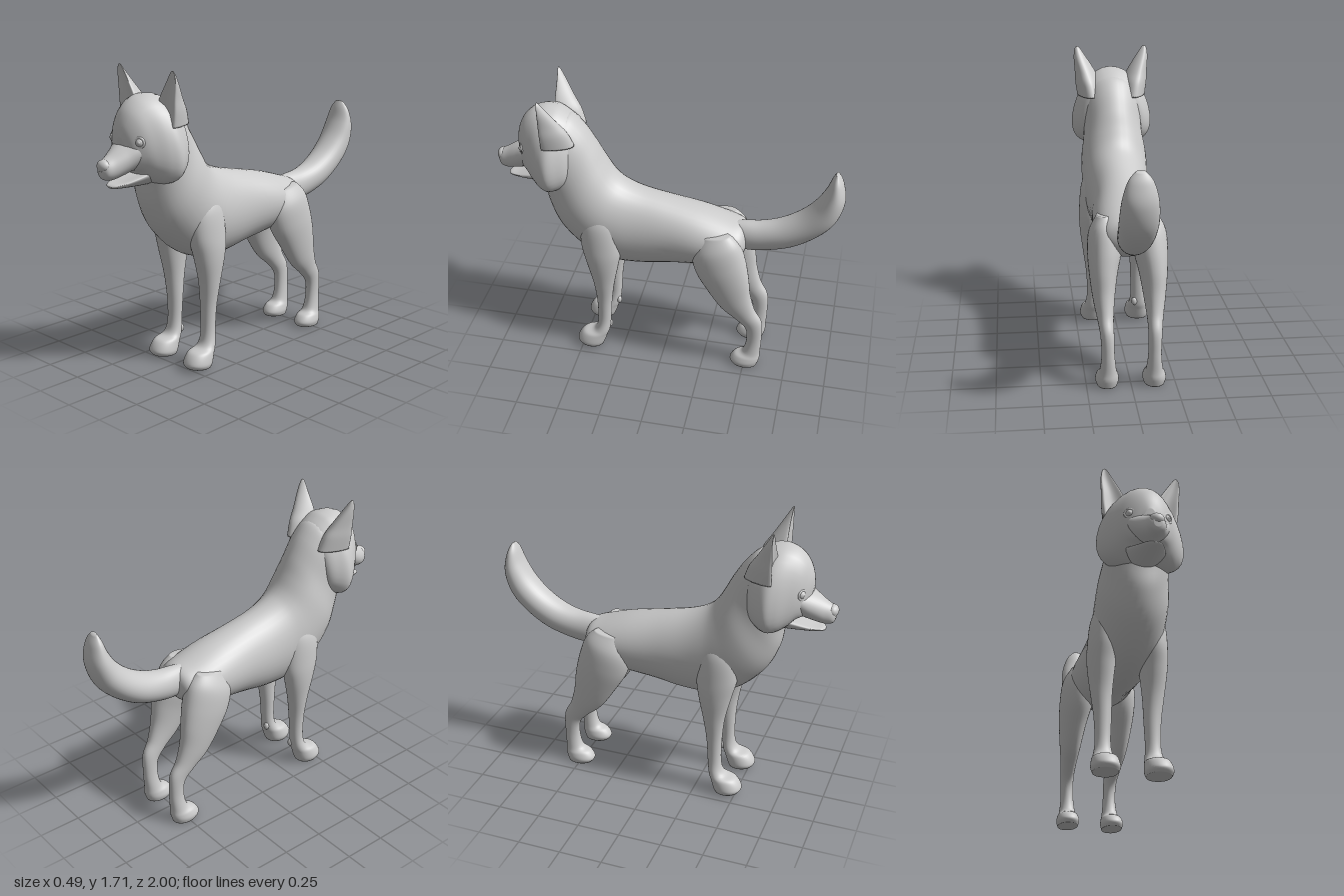
import * as THREE from 'three';

const material = new THREE.MeshStandardMaterial({ color: 0xcccccc });

// Catmull-Rom blend of one section parameter
function blend(a, b, c, d, t) {
  return 0.5 * (2 * b + (c - a) * t + (2 * a - 5 * b + 4 * c - d) * t * t + (3 * b - a - 3 * c + d) * t * t * t);
}

// Smooth skin over cross-sections [z1, y1, z2, y2, halfWidth, x]: each ring spans
// the two side-profile points; egg slides its widest part toward point 2.
function loft(name, sections, { side = 1, egg = 0, warp = null, round = 1 } = {}) {
  const N = 36, STEPS = 6, pos = [], index = [];
  const rings = [];
  const last = sections.length - 1;
  const at = (i, k) => sections[Math.max(0, Math.min(last, i))][k] ?? 0;
  for (let i = 0; i < last; i++) {
    for (let s = 0; s < STEPS + (i === last - 1 ? 1 : 0); s++) {
      rings.push([0, 1, 2, 3, 4, 5].map(k => blend(at(i - 1, k), at(i, k), at(i + 1, k), at(i + 2, k), s / STEPS)));
    }
  }
  const add = (x, y, z) => pos.push(side * x, y + (warp ? warp(x) : 0), z);
  for (const [z1, y1, z2, y2, w, x] of rings) {
    for (let j = 0; j < N; j++) {
      const a = (j / N) * Math.PI * 2, sn = Math.sin(a);
      const u = (Math.cos(a) - egg * sn * sn) / 2;
      add(x + w * Math.sign(sn) * Math.abs(sn) ** round, (y1 + y2) / 2 + u * (y1 - y2), (z1 + z2) / 2 + u * (z1 - z2));
    }
  }
  for (let r = 0; r < rings.length - 1; r++) {
    for (let j = 0; j < N; j++) {
      const a = r * N + j, b = r * N + (j + 1) % N;
      index.push(a, b, a + N, b, b + N, a + N);
    }
  }
  // End caps
  [0, rings.length - 1].forEach((r, end) => {
    const [z1, y1, z2, y2, , x] = rings[r];
    const c = pos.length / 3;
    add(x, (y1 + y2) / 2, (z1 + z2) / 2);
    for (let j = 0; j < N; j++) {
      const a = r * N + j, b = r * N + (j + 1) % N;
      if (end) index.push(a, b, c); else index.push(b, a, c);
    }
  });
  // Turn the faces outward
  let volume = 0;
  const p = [0, 1, 2].map(() => new THREE.Vector3());
  for (let i = 0; i < index.length; i += 3) {
    p.forEach((v, k) => v.fromArray(pos, index[i + k] * 3));
    volume += p[0].dot(p[1].clone().cross(p[2]));
  }
  if (volume < 0) index.reverse();
  const geometry = new THREE.BufferGeometry();
  geometry.setAttribute('position', new THREE.Float32BufferAttribute(pos, 3));
  geometry.setIndex(index);
  geometry.computeVertexNormals();
  const mesh = new THREE.Mesh(geometry, material);
  mesh.name = name;
  return mesh;
}

function ball(name, x, y, z, rx, ry, rz) {
  const mesh = new THREE.Mesh(new THREE.SphereGeometry(1, 24, 16), material);
  mesh.name = name;
  mesh.position.set(x, y, z);
  mesh.scale.set(rx, ry, rz);
  return mesh;
}

const TORSO = [
  [-0.47, 0.89, -0.47, 0.82, 0.05], [-0.44, 0.94, -0.45, 0.76, 0.13], [-0.36, 0.97, -0.36, 0.70, 0.175],
  [-0.20, 1.02, -0.22, 0.665, 0.185], [0, 1.065, -0.03, 0.635, 0.175], [0.15, 1.10, 0.15, 0.605, 0.178],
  [0.25, 1.14, 0.32, 0.61, 0.19], [0.31, 1.19, 0.48, 0.68, 0.20], [0.36, 1.27, 0.62, 0.82, 0.20],
  [0.41, 1.365, 0.69, 0.97, 0.182], [0.48, 1.47, 0.71, 1.10, 0.178], [0.56, 1.54, 0.72, 1.20, 0.17],
  [0.62, 1.50, 0.72, 1.30, 0.10],
];
const HEAD = [
  [0.50, 1.42, 0.52, 1.22, 0.10], [0.53, 1.51, 0.54, 1.17, 0.18], [0.60, 1.565, 0.58, 1.13, 0.222],
  [0.65, 1.582, 0.64, 1.105, 0.247], [0.71, 1.583, 0.69, 1.11, 0.225], [0.77, 1.56, 0.74, 1.14, 0.182],
  [0.82, 1.51, 0.78, 1.18, 0.142], [0.85, 1.44, 0.82, 1.20, 0.092], [0.86, 1.37, 0.84, 1.23, 0.04],
];
const MUZZLE = [
  [0.68, 1.40, 0.68, 1.20, 0.15], [0.80, 1.355, 0.79, 1.19, 0.125], [0.87, 1.325, 0.87, 1.17, 0.09],
  [0.93, 1.29, 0.93, 1.158, 0.064], [0.975, 1.265, 0.97, 1.165, 0.046], [0.993, 1.24, 0.985, 1.185, 0.022],
];
const JAW = [
  [0.62, 1.20, 0.62, 1.12, 0.10], [0.70, 1.18, 0.69, 1.10, 0.125], [0.79, 1.16, 0.78, 1.10, 0.10],
  [0.87, 1.14, 0.87, 1.105, 0.068], [0.92, 1.133, 0.92, 1.11, 0.04], [0.937, 1.125, 0.937, 1.118, 0.012],
];
const EAR = [
  [0.65, 1.42, 0.50, 1.42, 0.08, 0.13], [0.655, 1.50, 0.53, 1.50, 0.076, 0.145], [0.66, 1.57, 0.57, 1.56, 0.061, 0.163],
  [0.665, 1.65, 0.62, 1.64, 0.038, 0.191], [0.67, 1.70, 0.65, 1.69, 0.018, 0.205], [0.672, 1.717, 0.665, 1.715, 0.004, 0.207],
];
const FRONT_LEG = [
  [0.42, 1.02, 0.32, 1.02, 0.03, 0.13], [0.48, 0.92, 0.27, 0.92, 0.078, 0.13], [0.485, 0.78, 0.25, 0.76, 0.085, 0.139],
  [0.455, 0.65, 0.265, 0.65, 0.076, 0.147], [0.42, 0.50, 0.295, 0.50, 0.06, 0.145], [0.405, 0.35, 0.315, 0.36, 0.048, 0.138],
  [0.405, 0.20, 0.325, 0.22, 0.043, 0.138], [0.43, 0.13, 0.335, 0.13, 0.055, 0.14], [0.50, 0.105, 0.35, 0.085, 0.07, 0.142],
  [0.535, 0.05, 0.365, 0.04, 0.078, 0.143], [0.52, 0.02, 0.375, 0.015, 0.068, 0.143],
];
const HIND_LEG = [
  [-0.22, 0.92, -0.38, 0.94, 0.04, 0.13], [-0.17, 0.80, -0.44, 0.88, 0.09, 0.125], [-0.19, 0.68, -0.48, 0.77, 0.095, 0.13],
  [-0.26, 0.56, -0.505, 0.65, 0.078, 0.14], [-0.35, 0.43, -0.52, 0.53, 0.06, 0.142], [-0.44, 0.35, -0.55, 0.42, 0.045, 0.138],
  [-0.50, 0.28, -0.595, 0.33, 0.038, 0.133], [-0.51, 0.19, -0.60, 0.20, 0.037, 0.13], [-0.49, 0.105, -0.595, 0.10, 0.047, 0.13],
  [-0.44, 0.075, -0.595, 0.06, 0.06, 0.132], [-0.415, 0.035, -0.59, 0.035, 0.066, 0.133], [-0.43, 0.008, -0.58, 0.004, 0.058, 0.133],
];
const TAIL = [
  [-0.36, 0.95, -0.38, 0.80, 0.05], [-0.45, 0.96, -0.47, 0.775, 0.068], [-0.55, 0.97, -0.60, 0.795, 0.08],
  [-0.65, 1.00, -0.74, 0.845, 0.093], [-0.75, 1.06, -0.87, 0.935, 0.10], [-0.83, 1.14, -0.96, 1.04, 0.102],
  [-0.885, 1.23, -0.999, 1.17, 0.093], [-0.915, 1.31, -0.983, 1.28, 0.065], [-0.935, 1.35, -0.955, 1.342, 0.025],
];

export function createModel() {
  const model = new THREE.Group();
  model.name = 'dog';
  const smile = x => 3 * x * x;

  // Trunk and tail
  model.add(loft('torso', TORSO), loft('tail', TAIL));

  // Head
  const head = new THREE.Group();
  head.name = 'head';
  head.add(
    loft('skull', HEAD, { egg: 0.38, round: 0.9 }),
    loft('muzzle', MUZZLE, { egg: 0.2, warp: smile }),
    loft('lowerJaw', JAW, { warp: smile }),
    ball('nose', 0, 1.238, 0.968, 0.042, 0.034, 0.032),
  );
  model.add(head);

  for (const side of [1, -1]) {
    const label = side > 0 ? 'left' : 'right';

    // Ears, dished at the front
    head.add(loft(label + 'Ear', EAR, { side, egg: -1 }));

    // Eyes with lids and pupils
    const eye = new THREE.Group();
    eye.name = label + 'Eye';
    eye.position.set(side * 0.1, 1.352, 0.805);
    eye.rotation.y = side * 0.5;
    const lid = new THREE.Mesh(new THREE.TorusGeometry(0.026, 0.007, 10, 28), material);
    lid.name = 'eyelid';
    lid.position.z = 0.012;
    eye.add(ball('eyeball', 0, 0, 0, 0.027, 0.027, 0.027), ball('pupil', 0, 0, 0.023, 0.01, 0.01, 0.006), lid);
    head.add(eye);

    // Legs, with a small pad behind each front paw
    model.add(
      loft(label + 'FrontLeg', FRONT_LEG, { side, round: 0.9 }),
      loft(label + 'HindLeg', HIND_LEG, { side, round: 0.9 }),
      ball(label + 'WristPad', side * 0.115, 0.15, 0.338, 0.018, 0.026, 0.016),
    );
  }
  return model;
}
